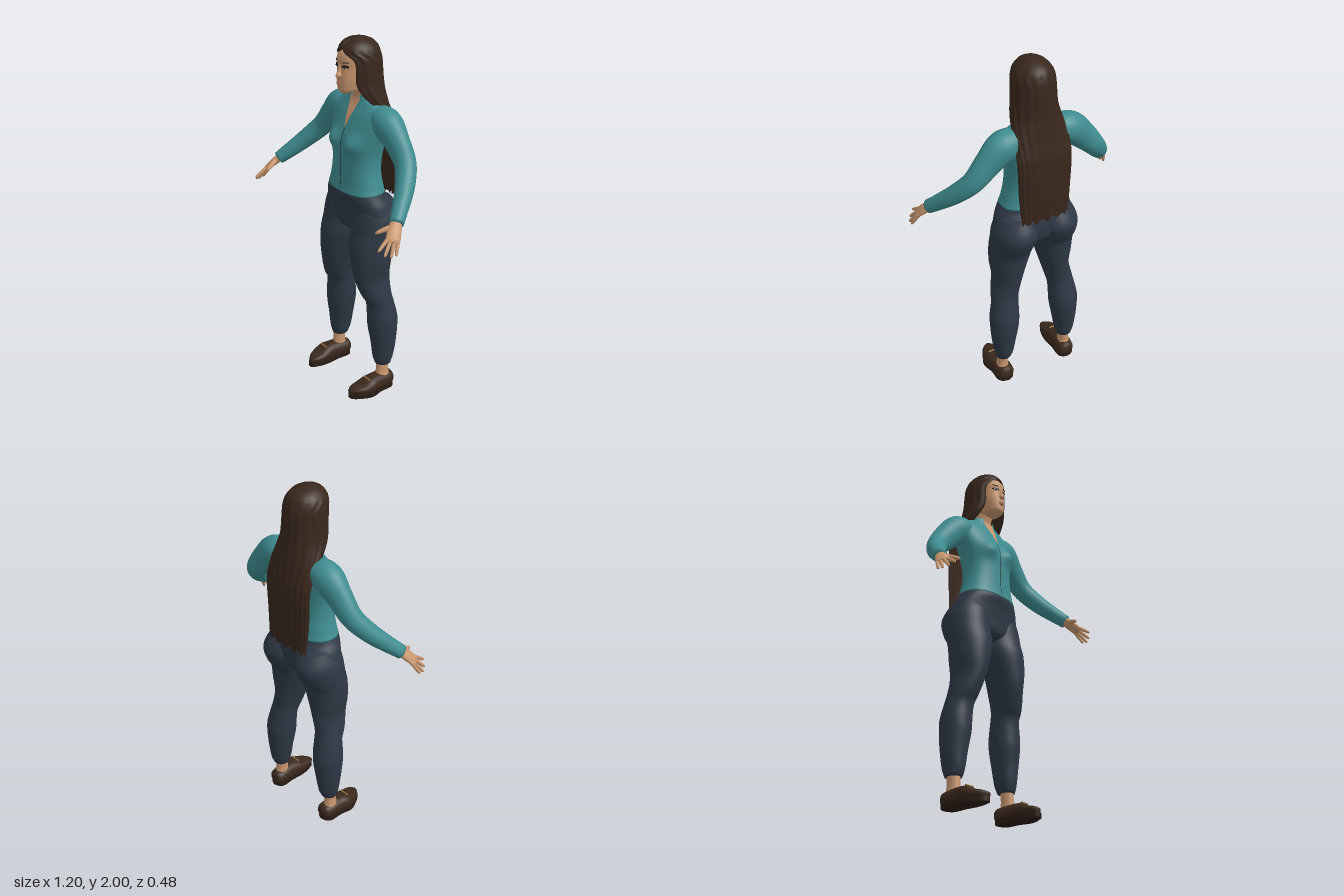
import * as THREE from 'three';

const mat = (name, color, side = THREE.FrontSide) => {
  const m = new THREE.MeshStandardMaterial({ color, side });
  m.name = name;
  return m;
};

// Closed skin over rows of points (counter-clockwise about the loft direction)
function skin(rows, caps = true) {
  const n = rows[0].length, pos = rows.flat(2), idx = [];
  for (let i = 0; i < rows.length - 1; i++) for (let j = 0; j < n; j++) {
    const a = i * n + j, b = i * n + (j + 1) % n;
    idx.push(a, b, b + n, a, b + n, a + n);
  }
  if (caps) [rows[0], rows[rows.length - 1]].forEach((row, e) => {
    const c = pos.length / 3, o = e * (rows.length - 1) * n;
    for (let k = 0; k < 3; k++) pos.push(row.reduce((s, p) => s + p[k], 0) / n);
    for (let j = 0; j < n; j++) {
      const a = o + j, b = o + (j + 1) % n;
      e ? idx.push(c, a, b) : idx.push(c, b, a);
    }
  });
  const g = new THREE.BufferGeometry();
  g.setAttribute('position', new THREE.Float32BufferAttribute(pos, 3));
  g.setIndex(idx);
  g.computeVertexNormals();
  return g;
}

// Smooth interpolation of section parameters; the first entry is the height
function at(r, y) {
  let i = 0;
  while (i < r.length - 2 && y > r[i + 1][0]) i++;
  const h = r[i + 1][0] - r[i][0], t = (y - r[i][0]) / h;
  const slope = (j, k) => {
    const a = r[Math.max(j - 1, 0)], b = r[Math.min(j + 1, r.length - 1)];
    return (b[k] - a[k]) / (b[0] - a[0]) * h;
  };
  return r[i].map((v, k) => {
    const d = r[i + 1][k] - v, m0 = slope(i, k), m1 = slope(i + 1, k);
    return v + m0 * t + (3 * d - 2 * m0 - m1) * t * t + (m0 + m1 - 2 * d) * t * t * t;
  });
}
const heights = (r, n) => Array.from({ length: n + 1 }, (_, i) => r[0][0] + (r[r.length - 1][0] - r[0][0]) * i / n);
const spow = (v, e) => Math.sign(v) * Math.abs(v) ** e;

// Upright loft; section = [y, centre x, centre z, half width, front depth, back depth]
function loft(r, { p = 2, steps = 40, seg = 40, bump = () => 0 } = {}) {
  return skin(heights(r, steps).map(y => {
    const [, cx, cz, rx, rf, rb] = at(r, y);
    return Array.from({ length: seg }, (_, j) => {
      const a = j / seg * Math.PI * 2, s = Math.sin(a), c = Math.cos(a), x = cx + rx * spow(s, 2 / p);
      return [x, y, cz + (c > 0 ? rf : rb) * spow(c, 2 / p) + (c > 0 ? bump(x, y) * Math.min(1, c * 3) : 0)];
    });
  }));
}
// Front depth of a loft at x, y
function frontZ(r, x, y, p, bump = () => 0) {
  const [, cx, cz, rx, rf] = at(r, y);
  return cz + rf * Math.max(0, 1 - Math.abs((x - cx) / rx) ** p) ** (1 / p) + bump(x, y);
}

// Tapered limb along a curve; point = [x, y, z, radius along hint, other radius]
function limb(pts, hint, steps = 24, seg = 20) {
  const path = new THREE.CatmullRomCurve3(pts.map(q => new THREE.Vector3(q[0], q[1], q[2])));
  const radii = new THREE.CatmullRomCurve3(pts.map(q => new THREE.Vector3(q[3], q[4] ?? q[3], 0)));
  return skin(Array.from({ length: steps + 1 }, (_, i) => {
    const t = i / steps, c = path.getPoint(t), d = path.getTangent(t), r = radii.getPoint(t);
    const u = hint.clone().addScaledVector(d, -hint.dot(d)).normalize(), v = d.clone().cross(u);
    return Array.from({ length: seg }, (_, j) => {
      const a = j / seg * Math.PI * 2;
      return c.clone().addScaledVector(u, r.x * Math.cos(a)).addScaledVector(v, r.y * Math.sin(a)).toArray();
    });
  }));
}

const TORSO = [[1.185, 0, -.05, .18, .112, .117], [1.22, 0, -.05, .168, .105, .11], [1.3, 0, -.05, .15, .1, .105],
  [1.38, 0, -.055, .148, .105, .11], [1.46, 0, -.06, .165, .105, .12], [1.54, 0, -.075, .19, .095, .11],
  [1.6, 0, -.085, .195, .08, .1], [1.64, 0, -.092, .175, .065, .085], [1.67, 0, -.095, .12, .055, .06], [1.69, 0, -.095, .075, .05, .05]];
const bust = (x, y) => .03 * Math.exp(-(((Math.abs(x) - .075) / .05) ** 2) - ((y - 1.46) / .05) ** 2);
const PELVIS = [[.94, 0, -.07, .06, .06, .06], [.98, 0, -.07, .17, .1, .11], [1.05, 0, -.07, .225, .11, .13],
  [1.12, 0, -.06, .215, .11, .14], [1.17, 0, -.05, .188, .112, .12], [1.198, 0, -.05, .174, .108, .114]];
const LEG = [[.16, .2, -.09, .043, .048, .043], [.2, .198, -.09, .053, .06, .06], [.3, .196, -.09, .069, .07, .075], [.4, .19, -.09, .08, .085, .085],
  [.46, .188, -.088, .082, .084, .085], [.55, .178, -.075, .075, .075, .08], [.6, .17, -.058, .075, .085, .088],
  [.7, .148, -.045, .078, .105, .105], [.8, .139, -.045, .1, .115, .115], [.9, .127, -.055, .117, .123, .12],
  [.97, .124, -.07, .12, .12, .145], [1.05, .118, -.08, .12, .118, .155], [1.14, .105, -.07, .095, .09, .115]];
const HEAD = [[1.716, 0, .015, .015, .02, .02], [1.73, 0, -.02, .045, .075, .04], [1.76, 0, -.04, .06, .1, .06],
  [1.8, 0, -.05, .07, .11, .08], [1.85, 0, -.06, .077, .115, .09], [1.9, 0, -.06, .08, .114, .095],
  [1.935, 0, -.06, .077, .098, .09], [1.965, 0, -.06, .052, .062, .06], [1.98, 0, -.06, .015, .02, .02]];
const NOSE = [[1.802, 0, .048, .01, .014, .01], [1.815, 0, .05, .017, .031, .01], [1.835, 0, .05, .01, .02, .01], [1.875, 0, .046, .006, .01, .01]];
const NECK = [[1.6, 0, -.095, .055, .045, .05], [1.69, 0, -.09, .052, .05, .05], [1.78, 0, -.06, .052, .05, .05]];
// [y, -, centre z, half width, depth, half angle of the face opening]
const HAIR = [[1.14, 0, -.2, .135, .022, 1.4], [1.3, 0, -.192, .146, .04, 1.4], [1.5, 0, -.188, .152, .045, 1.4], [1.6, 0, -.15, .148, .065, 1.2],
  [1.66, 0, -.115, .14, .09, 1], [1.72, 0, -.085, .127, .11, .85], [1.78, 0, -.075, .117, .115, .72], [1.85, 0, -.07, .113, .115, .76],
  [1.9, 0, -.067, .109, .113, .66], [1.935, 0, -.062, .1, .107, .15], [1.96, 0, -.06, .084, .095, 0], [1.985, 0, -.056, .054, .062, 0], [2, 0, -.05, .004, .004, 0]];
const SHOE = [[-.148, .2, -.045, .022, .02, .022], [-.138, .2, -.045, .04, .03, .04], [-.1, .202, -.045, .049, .03, .047], [-.03, .206, -.045, .051, .03, .053],
  [.02, .208, -.045, .056, .03, .048], [.07, .203, -.045, .051, .03, .026], [.11, .195, -.045, .036, .03, .015], [.136, .19, -.04, .014, .02, .008]];

export function createModel() {
  const g = new THREE.Group();
  const skinM = mat('skin', 0xc9976f, THREE.DoubleSide), shirt = mat('teal shirt', 0x3f8c90, THREE.DoubleSide);
  const pants = mat('dark slate trousers', 0x2e3845), hairM = mat('dark brown hair', 0x38271c, THREE.DoubleSide);
  const shoeM = mat('brown leather', 0x3b291c), soleM = mat('dark sole', 0x2a1d15), gold = mat('brass', 0x8a6a40);
  const lip = mat('lips', 0xb0735c), dark = mat('lashes and iris', 0x17110f), white = mat('eye white', 0xd5cac2);
  const add = (name, geo, m) => {
    const mesh = new THREE.Mesh(geo, m);
    mesh.name = name;
    g.add(mesh);
    return mesh;
  };
  // Thin strip lying on the front of the torso
  const strip = (name, y0, y1, half, off, m) => {
    const geo = new THREE.PlaneGeometry(2, 1, 10, 24), q = geo.attributes.position;
    for (let i = 0; i < q.count; i++) {
      const t = q.getY(i) + .5, y = y0 + (y1 - y0) * t, x = q.getX(i) * half(t);
      q.setXYZ(i, x, y, frontZ(TORSO, x, y, 2.3, bust) + off);
    }
    geo.computeVertexNormals();
    return add(name, geo, m);
  };

  // Clothed body
  add('shirtBody', loft(TORSO, { p: 2.3, seg: 64, steps: 60, bump: bust }), shirt);
  strip('neckOpening', 1.53, 1.686, t => .001 + .039 * t, .004, skinM);
  strip('zipLine', 1.2, 1.53, () => .0018, .002, dark);
  add('pelvis', loft(PELVIS, { p: 2.2 }), pants);
  const collar = [[1.65, .1, .075], [1.675, .09, .066], [1.702, .082, .06]].map(([y, rx, rz]) =>
    Array.from({ length: 60 }, (_, k) => {
      const inner = k >= 30, a = .5 + (inner ? 59 - k : k) / 29 * (2 * Math.PI - 1), s = inner ? .93 : 1;
      return [rx * s * Math.sin(a), y, -.095 + rz * s * Math.cos(a)];
    }));
  add('collar', skin(collar, false), shirt);

  // Head and face
  add('neck', loft(NECK), skinM);
  add('head', loft(HEAD, { p: 2.3 }), skinM);
  add('nose', loft(NOSE, { seg: 20, steps: 16 }), skinM);
  const spot = (name, x, y, w, h, d, off, m, tilt = 0) => {
    const e = add(name, new THREE.SphereGeometry(1, 20, 12), m);
    e.position.set(x, y, frontZ(HEAD, x, y, 2.3) + off);
    e.scale.set(w, h, d);
    e.rotation.set(0, x * 14, tilt);
  };
  spot('upperLip', 0, 1.778, .022, .005, .006, .001, lip);
  spot('lowerLip', 0, 1.769, .018, .006, .006, .001, lip);
  for (const s of [-1, 1]) {
    spot('lashes', s * .034, 1.863, .022, .009, .004, 0, dark, s * .08);
    spot('eyeWhite', s * .034, 1.859, .014, .005, .004, .002, white);
    spot('iris', s * .034, 1.86, .006, .006, .004, .004, dark);
    spot('eyebrow', s * .037, 1.886, .021, .003, .004, 0, hairM, s * .1);
  }

  // Long hair: a C-shaped section, open at the face, flattening down the back
  const half = 60;
  add('hair', skin(heights(HAIR, 70).map(y => {
    const [, , cz, rx, rz, o] = at(HAIR, y), open = Math.max(0, o);
    return Array.from({ length: half * 2 }, (_, k) => {
      const inner = k >= half, f = (inner ? 2 * half - 1 - k : k) / (half - 1);
      const a = open + f * 2 * (Math.PI - open), wave = y < 1.95 ? .0022 * Math.sin(f * 75) : 0;
      const w = inner ? Math.max(rx - .02, rx * .4) : rx + wave, d = inner ? Math.max(rz - .02, rz * .4) : rz + wave;
      const ragged = y < 1.2 ? .012 * Math.sin(f * 47) * (1.2 - y) / .06 : 0;
      return [w * Math.sin(a), y + ragged, cz + d * Math.cos(a)];
    });
  }), false), hairM);

  // Limbs, mirrored
  const outline = new THREE.Shape();
  outline.setFromPoints(new THREE.CatmullRomCurve3([[.2, -.148], [.246, -.125], [.253, -.04], [.266, .03], [.246, .085],
    [.21, .135], [.18, .138], [.158, .09], [.15, .03], [.155, -.04], [.157, -.125]].map(([x, z]) => new THREE.Vector3(x, -z, 0)), true).getPoints(48));
  for (const s of [-1, 1]) {
    const side = s > 0 ? 'left' : 'right';
    const flip = r => r.map(([y, x, ...q]) => [y, s * x, ...q]);
    const arm = (pts, hint, ...o) => limb(pts.map(([x, ...q]) => [s * x, ...q]), hint, ...o);
    add(side + 'TrouserLeg', loft(flip(LEG), { steps: 60 }), pants);
    add(side + 'Ankle', loft(flip([[.06, .205, -.085, .036, .045, .042], [.12, .203, -.083, .03, .038, .036], [.22, .2, -.09, .034, .038, .038]])), skinM);

    add(side + 'Sleeve', arm([[.12, 1.595, -.1, .07, .07], [.19, 1.575, -.1, .078, .084], [.27, 1.505, -.1, .062, .073], [.35, 1.415, -.09, .055, .058],
      [.42, 1.33, -.03, .05, .05], [.47, 1.265, .035, .043, .043], [.515, 1.207, .098, .037, .035]], new THREE.Vector3(0, 0, 1), 40, 28), shirt);

    // Hand: palm, four fingers and thumb
    const across = new THREE.Vector3(-.507 * s, .169, .845);
    add(side + 'Palm', arm([[.505, 1.22, .085, .027, .022], [.53, 1.185, .12, .035, .02], [.555, 1.15, .15, .037, .014], [.562, 1.14, .158, .03, .008]], across), skinM);
    [[.026, .55, 1.11, .237], [.009, .575, 1.087, .217], [-.009, .591, 1.077, .19], [-.026, .594, 1.082, .16]].forEach(([o, x, y, z], i) => {
      const b = [.553 - .507 * o, 1.152 + .169 * o, .148 + .845 * o], t = [x, y, z];
      const p = k => b.map((v, j) => v + (t[j] - v) * k);
      add(side + 'Finger' + (i + 1), arm([[...p(-.1), .0105], [...p(.5), .0095], [...p(.9), .0075], [...p(1), .003]], across, 12, 10), skinM);
    });
    add(side + 'Thumb', arm([[.518, 1.2, .115, .015], [.5, 1.187, .155, .013], [.484, 1.174, .19, .009], [.479, 1.168, .2, .003]],
      new THREE.Vector3(0, 1, 0), 14, 12), skinM);

    // Loafer: upper, sole and brass bar over the instep
    add(side + 'ShoeUpper', loft(flip(SHOE), { p: 2.3 }).rotateX(Math.PI / 2), shoeM);
    const sole = add(side + 'Sole', new THREE.ExtrudeGeometry(outline, { depth: .025, bevelEnabled: false }).rotateX(-Math.PI / 2), soleM);
    if (s < 0) sole.geometry.translate(-.408, 0, 0).rotateZ(Math.PI).translate(-.408, .025, 0);
    if (s < 0) sole.geometry.translate(-sole.geometry.boundingBox?.min.x || 0, 0, 0).computeBoundingBox();
    if (s < 0) sole.geometry.translate(-.266 - sole.geometry.boundingBox.min.x, 0, 0);
    const bar = add(side + 'InstepBar', new THREE.CapsuleGeometry(.005, .05, 4, 10).rotateZ(Math.PI / 2), gold);
    bar.position.set(s * .207, .093, .028);
  }
  return g;
}
